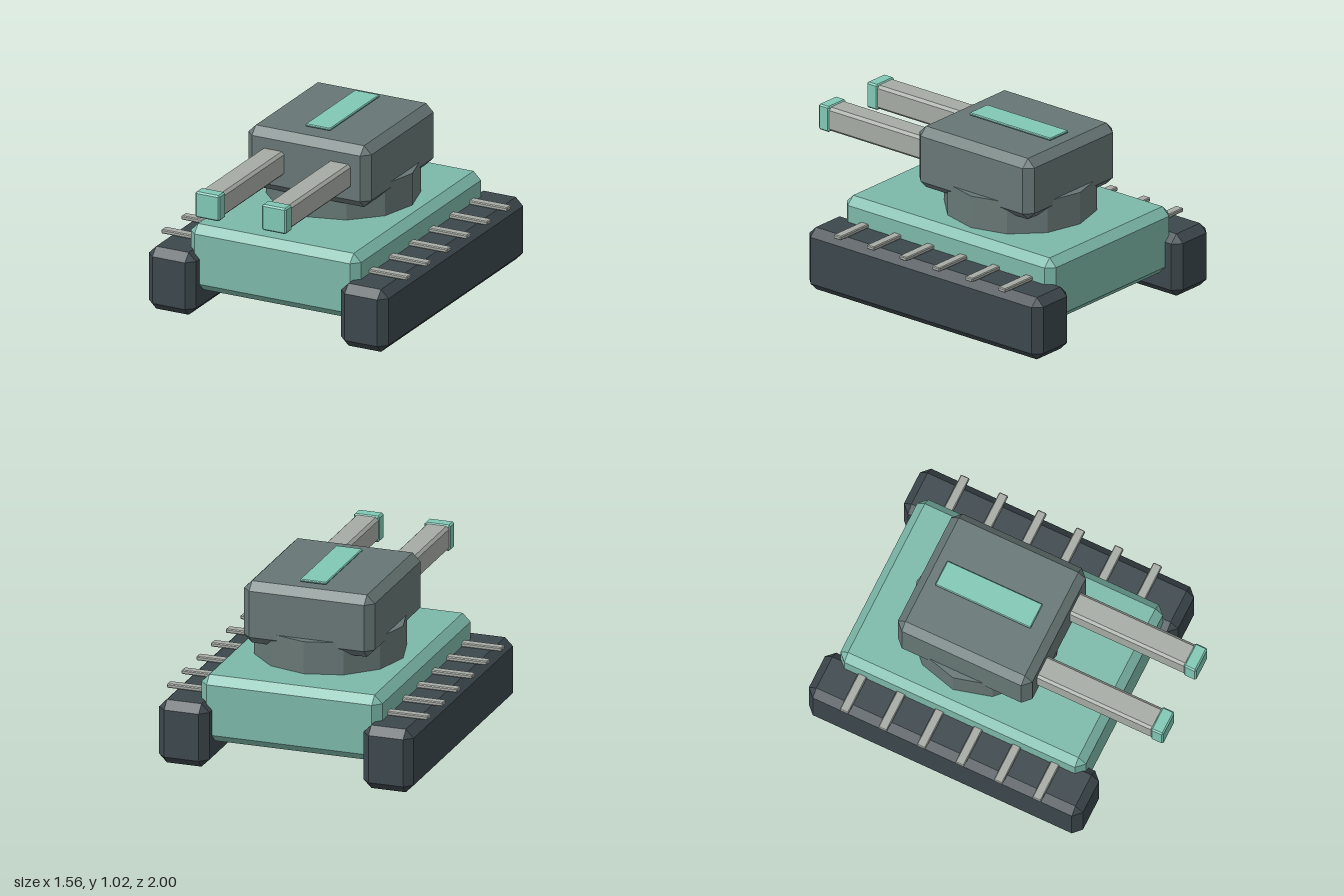
import * as THREE from 'three';
import { ConvexGeometry } from 'three/addons/geometries/ConvexGeometry.js';

// Box between two corners with every edge cut at 45 degrees
function chamferBox([x0, y0, z0], [x1, y1, z1], c) {
  const half = [(x1 - x0) / 2, (y1 - y0) / 2, (z1 - z0) / 2];
  const points = [];
  for (const sx of [-1, 1]) for (const sy of [-1, 1]) for (const sz of [-1, 1]) {
    for (let axis = 0; axis < 3; axis++) {
      const h = half.map((v, i) => (i === axis ? v : v - c));
      points.push(new THREE.Vector3(sx * h[0], sy * h[1], sz * h[2]));
    }
  }
  const geometry = new ConvexGeometry(points);
  geometry.translate((x0 + x1) / 2, (y0 + y1) / 2, (z0 + z1) / 2);
  return geometry;
}

function makeMaterial(name, color) {
  const material = new THREE.MeshStandardMaterial({ color });
  material.name = name;
  return material;
}

export function createModel() {
  const model = new THREE.Group();
  model.name = 'tank';

  const hullGreen = makeMaterial('hullGreen', 0x7cb9a9);
  const accentMint = makeMaterial('accentMint', 0x80c8b4);
  const turretGrey = makeMaterial('turretGrey', 0x677775);
  const trackDark = makeMaterial('trackDark', 0x3c474c);
  const metalGrey = makeMaterial('metalGrey', 0xa6aba5);

  const add = (name, geometry, material) => {
    const mesh = new THREE.Mesh(geometry, material);
    mesh.name = name;
    model.add(mesh);
    return mesh;
  };

  // Hull
  add('hull', chamferBox([-0.54, 0.13, -0.91], [0.54, 0.522, 0.62], 0.047), hullGreen);

  // Turret ring and turret
  const ring = new THREE.CylinderGeometry(0.435, 0.435, 0.24, 12).toNonIndexed();
  ring.computeVertexNormals();
  ring.translate(0, 0.593, -0.238);
  add('turretRing', ring, turretGrey);
  add('turret', chamferBox([-0.39, 0.633, -0.625], [0.39, 1.002, 0.213], 0.047), turretGrey);
  add('roofStripe', chamferBox([-0.08, 1.009, -0.522], [0.08, 1.024, 0.073], 0.005), accentMint);

  for (const [side, s] of [['left', 1], ['right', -1]]) {
    // Box from the inner to the outer x, mirrored for the right side
    const sideBox = (a, b, c) => s > 0
      ? chamferBox(a, b, c)
      : chamferBox([-b[0], a[1], a[2]], [-a[0], b[1], b[2]], c);

    // Track with cross slats
    add(side + 'Track', sideBox([0.46, 0, -1], [0.76, 0.375, 0.708], 0.047), trackDark);
    for (let i = 0; i < 6; i++) {
      const z = -0.75 + i * 0.24;
      add(side + 'TrackSlat' + (i + 1),
        sideBox([0.44, 0.376, z - 0.027], [0.78, 0.4, z + 0.027], 0.005), metalGrey);
    }

    // Gun barrel and muzzle
    add(side + 'Barrel', sideBox([0.139, 0.748, 0.12], [0.283, 0.892, 0.94], 0.016), metalGrey);
    add(side + 'Muzzle', sideBox([0.134, 0.743, 0.922], [0.288, 0.898, 1], 0.009), accentMint);
  }

  return model;
}
